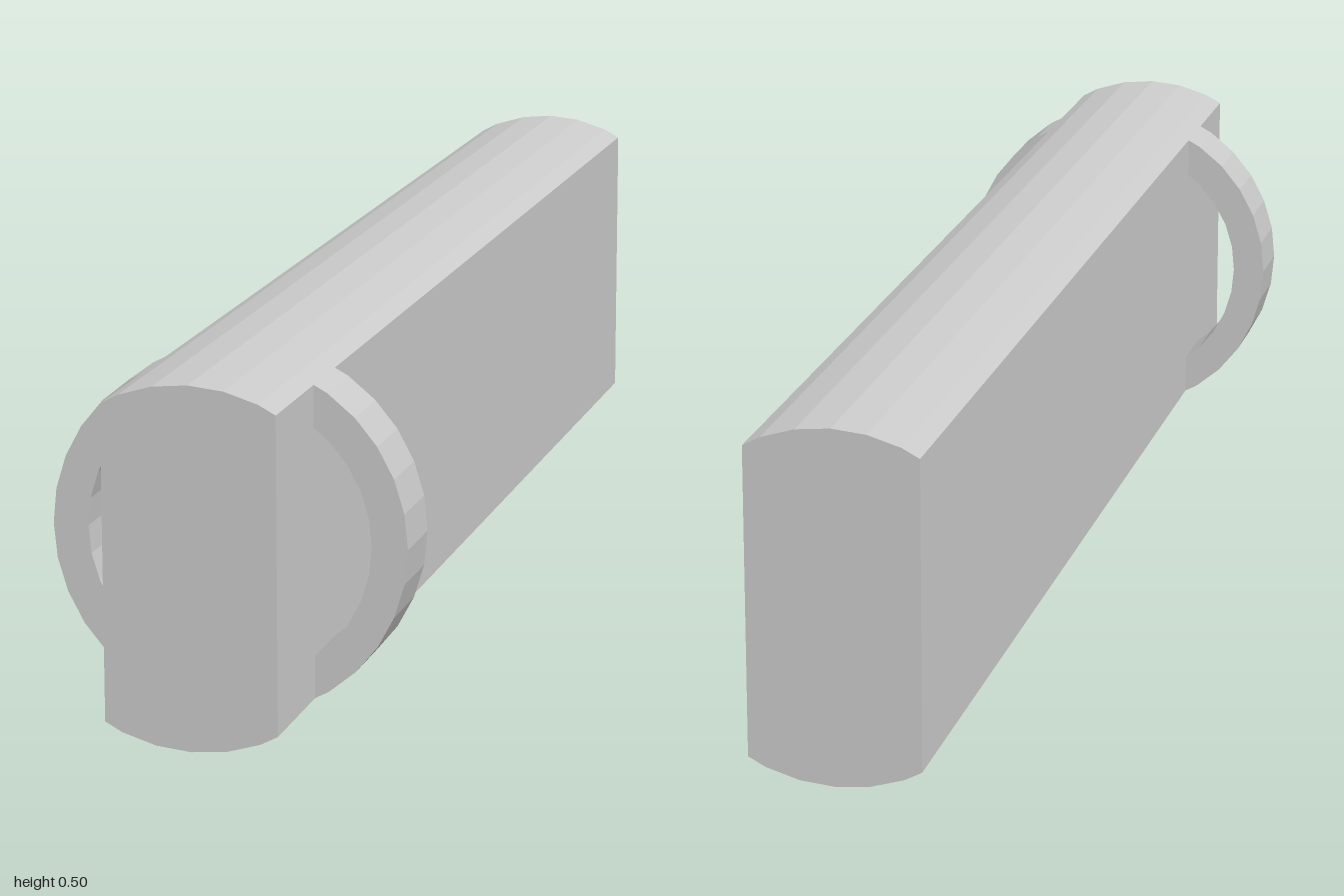
import * as THREE from 'three';

const SIDES = 32, OUTER = 0.25, INNER = 0.2, HALF_WIDTH = 0.12;
const STEP = (Math.PI * 2) / SIDES;

// height of a 32-sided circle at the flat faces of the bar
function edgeHeight(r) {
  const k = Math.floor(Math.acos(HALF_WIDTH / r) / STEP);
  const [a, b] = [k * STEP, (k + 1) * STEP];
  const t = (r * Math.cos(a) - HALF_WIDTH) / (r * (Math.cos(a) - Math.cos(b)));
  return r * THREE.MathUtils.lerp(Math.sin(a), Math.sin(b), t);
}

// part of the circle beyond the bar's flat face, from bottom to top
function sideArc(r, side) {
  const h = edgeHeight(r);
  const points = [new THREE.Vector2(side * HALF_WIDTH, -h)];
  for (let k = -SIDES / 4; k <= SIDES / 4; k++) {
    const x = r * Math.cos(k * STEP);
    if (x > HALF_WIDTH) points.push(new THREE.Vector2(side * x, r * Math.sin(k * STEP)));
  }
  points.push(new THREE.Vector2(side * HALF_WIDTH, h));
  return points;
}

// part of the circle above the bar, from left to right
function topArc(sign) {
  const h = edgeHeight(OUTER);
  const points = [new THREE.Vector2(HALF_WIDTH * sign, h * sign)];
  for (let k = -SIDES / 4; k <= SIDES / 4; k++) {
    const x = -OUTER * Math.sin(k * STEP);
    if (Math.abs(x) < HALF_WIDTH) {
      points.push(new THREE.Vector2(x * sign, OUTER * Math.cos(k * STEP) * sign));
    }
  }
  points.push(new THREE.Vector2(-HALF_WIDTH * sign, h * sign));
  return points;
}

function extrude(name, points, zBack, zFront, material) {
  const geometry = new THREE.ExtrudeGeometry(new THREE.Shape(points), {
    depth: zFront - zBack, bevelEnabled: false,
  });
  geometry.translate(0, OUTER, zBack);
  const mesh = new THREE.Mesh(geometry, material);
  mesh.name = name;
  return mesh;
}

export function createModel() {
  const group = new THREE.Group();
  group.name = 'collaredBar';
  const material = new THREE.MeshStandardMaterial({ color: 0xcccccc, flatShading: true });

  // long bar with flat sides and rounded top and bottom
  // (points run anticlockwise: each arc goes from +x to -x, then mirrored)
  const section = [...topArc(1).sort((a, b) => b.x - a.x), ...topArc(-1).sort((a, b) => a.x - b.x)];
  group.add(extrude('bar', section, -1, 1, material));

  // ring halves standing out from both flat sides
  for (const side of [1, -1]) {
    const crescent = [...sideArc(OUTER, side), ...sideArc(INNER, side).reverse()];
    group.add(extrude(side > 0 ? 'leftCollar' : 'rightCollar', crescent, 0.73, 0.83, material));
  }
  return group;
}
